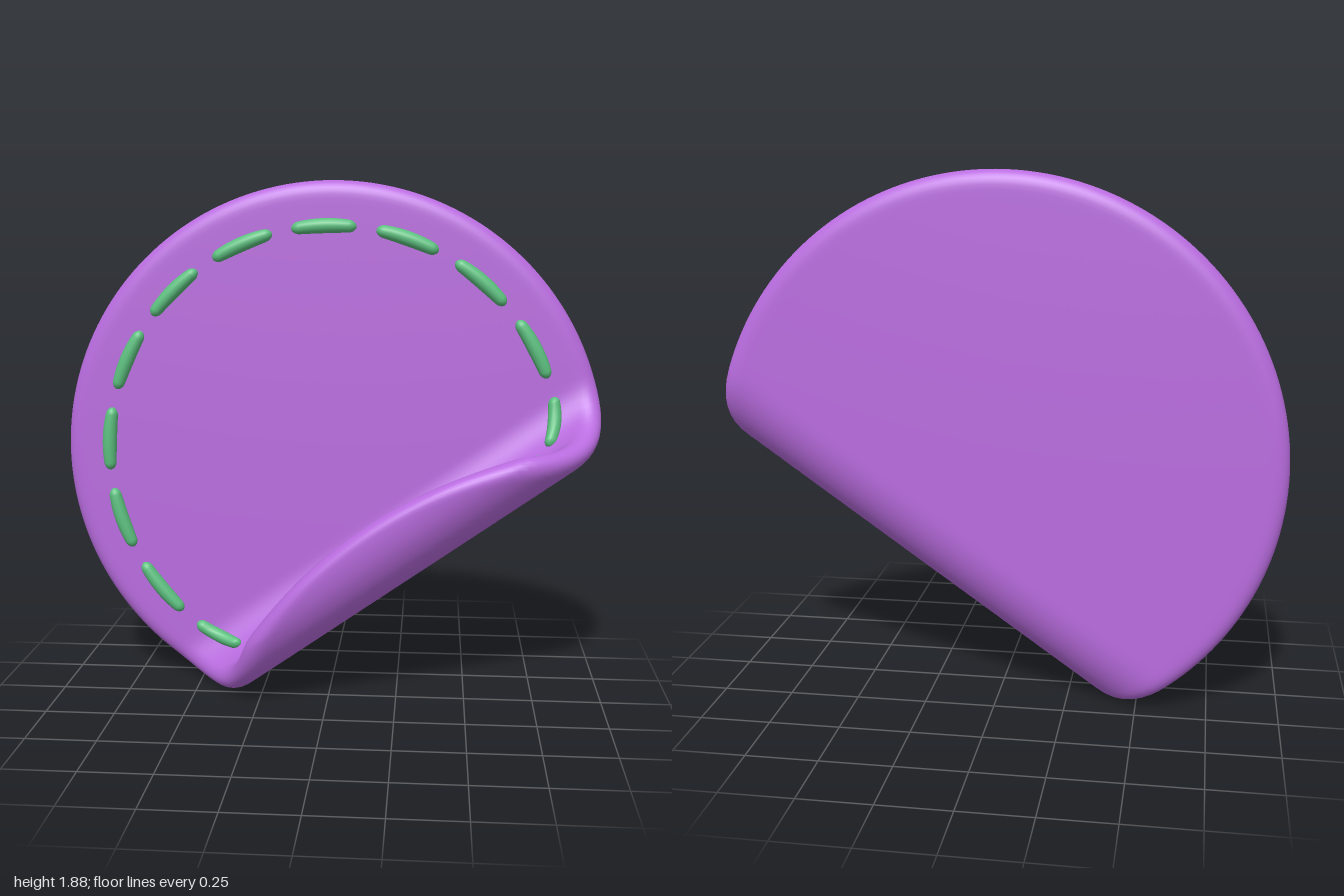
import * as THREE from 'three';
import { mergeVertices } from 'three/addons/utils/BufferGeometryUtils.js';

const CENTER_Y = 0.905;       // height of the disc centre
const HALF = 0.045;           // half thickness of the sheet
const BEND_START = 0.283;     // distance from the centre where the fold begins
const BEND_R = 0.19;          // radius of the fold
const SLOPE = THREE.MathUtils.degToRad(35.2); // direction of the fold line
const T = [Math.cos(SLOPE), Math.sin(SLOPE)]; // along the fold
const N = [T[1], -T[0]];                      // across the fold

// Rolls a point of the flat disc (x, y, height w) forward over the fold
function bend(v) {
  const s = v.x * T[0] + v.y * T[1];
  let d = v.x * N[0] + v.y * N[1];
  if (d > 0.8) d = 0.8 + (d - 0.8) * 0.6; // the lip of the flap is a little shorter
  const q = BEND_R - v.z;
  const angle = THREE.MathUtils.clamp((d - BEND_START) / BEND_R, 0, Math.PI);
  let across = BEND_START + q * Math.sin(angle);
  if (d < BEND_START) across = d;
  else across -= Math.max(0, d - BEND_START - Math.PI * BEND_R);
  v.set(across * N[0] + s * T[0], CENTER_Y + across * N[1] + s * T[1], -q * Math.cos(angle));
}

// Applies a rule to every vertex and gives smooth normals
function deform(source, rule) {
  source.deleteAttribute('uv');
  source.deleteAttribute('normal');
  const geo = mergeVertices(source, 1e-5);
  const pos = geo.attributes.position;
  const v = new THREE.Vector3();
  for (let i = 0; i < pos.count; i++) {
    v.fromBufferAttribute(pos, i);
    rule(v);
    pos.setXYZ(i, v.x, v.y, v.z);
  }
  geo.computeVertexNormals();
  return geo;
}

export function createModel() {
  const purple = new THREE.MeshStandardMaterial({ color: 0xb96cdf });
  purple.name = 'purple';
  const green = new THREE.MeshStandardMaterial({ color: 0x5cc07f });
  green.name = 'green';
  const model = new THREE.Group();
  model.name = 'foldedDisc';

  // Disc: back face, rounded rim, front face
  const profile = [];
  const rings = 44, rim = 0.065;
  for (let i = 0; i < rings; i++) profile.push(new THREE.Vector2((1 - rim) * i / rings, -HALF));
  for (let i = 0; i <= 16; i++) {
    const a = -Math.PI / 2 + Math.PI * i / 16;
    const c = Math.pow(Math.max(0, Math.cos(a)), 0.85);
    profile.push(new THREE.Vector2(1 - rim + rim * c, HALF * Math.sin(a)));
  }
  for (let i = rings - 1; i >= 0; i--) profile.push(new THREE.Vector2((1 - rim) * i / rings, HALF));
  const flat = new THREE.LatheGeometry(profile, 180).rotateX(Math.PI / 2);
  const disc = new THREE.Mesh(deform(flat, bend), purple);
  disc.name = 'disc';
  model.add(disc);

  // Ring of stitches lying on the inner face, following the fold
  const stitches = new THREE.Group();
  stitches.name = 'stitches';
  const count = 17, ringR = 0.838;
  for (let k = 0; k < count; k++) {
    const start = THREE.MathUtils.degToRad(92) + k * Math.PI * 2 / count;
    const capsule = new THREE.CapsuleGeometry(0.027, 0.184, 6, 16, 12);
    const geo = deform(capsule, (v) => {
      const taper = 1 - 0.25 * (v.y / 0.12) ** 2;
      const a = start + v.y / ringR, r = ringR + v.x * taper;
      v.set(r * Math.cos(a), r * Math.sin(a), HALF + 0.003 + v.z * taper);
      bend(v);
    });
    const stitch = new THREE.Mesh(geo, green);
    stitch.name = 'stitch' + (k + 1);
    stitches.add(stitch);
  }
  model.add(stitches);
  return model;
}
